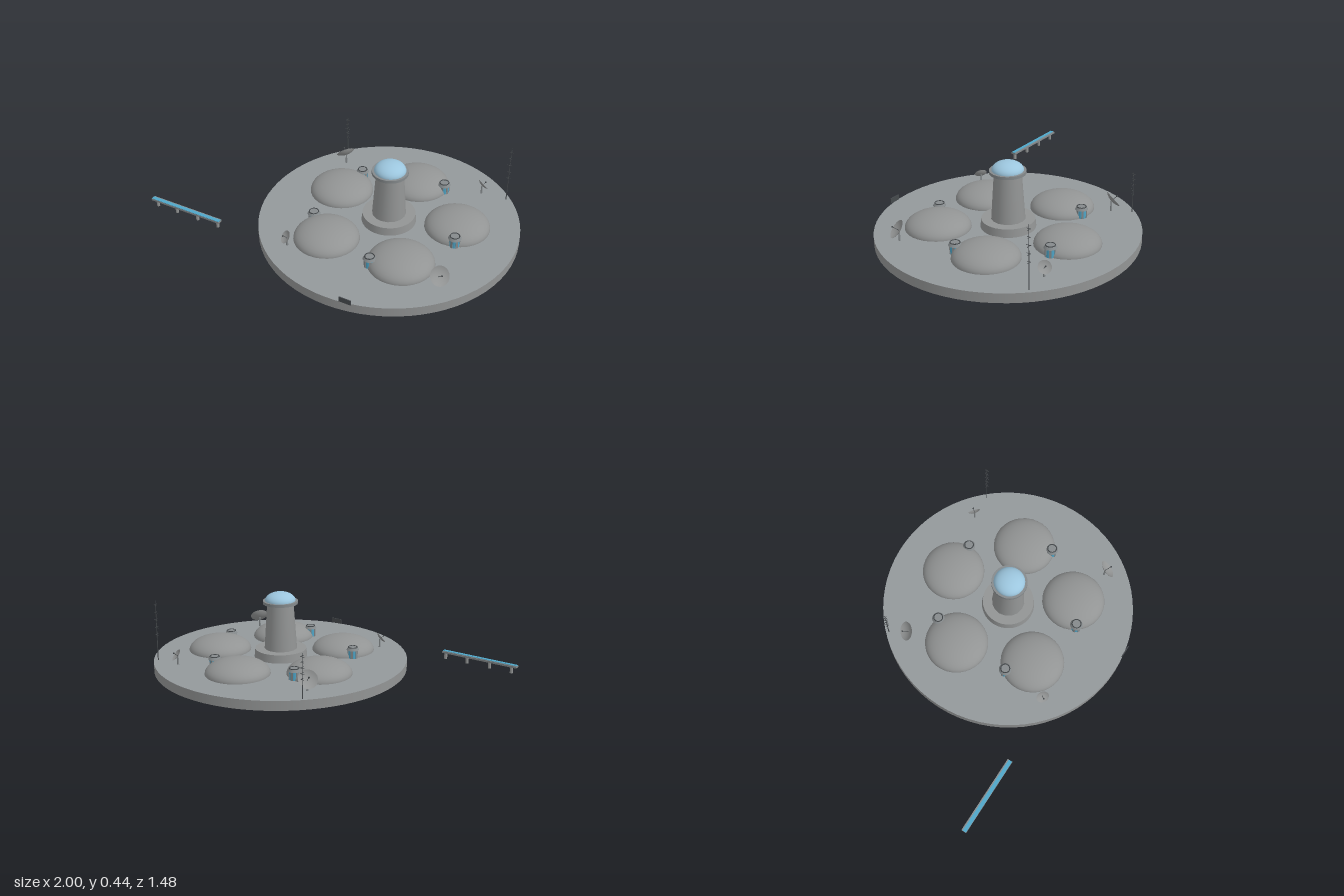
import * as THREE from 'three';

const mat = (name, color) => {
  const m = new THREE.MeshStandardMaterial({ color, side: THREE.DoubleSide });
  m.name = name;
  return m;
};

export function createModel() {
  const M = {
    ground: mat('ground grey', 0x93989b),
    concrete: mat('concrete grey', 0x929494),
    metal: mat('metal grey', 0x858a8c),
    dark: mat('dark metal', 0x45494c),
    glass: mat('pale glass', 0x9cc6de),
    blue: mat('window blue', 0x4fa6c8),
  };
  const model = new THREE.Group();
  const CX = 0.26, FLOOR = 0.055;

  const add = (parent, name, geo, material, x = 0, y = 0, z = 0) => {
    const mesh = new THREE.Mesh(geo, material);
    mesh.name = name;
    mesh.position.set(x, y, z);
    parent.add(mesh);
    return mesh;
  };
  const group = (name, x, y, z) => {
    const g = new THREE.Group();
    g.name = name;
    g.position.set(x, y, z);
    model.add(g);
    return g;
  };
  const cyl = (rt, rb, h, n = 24, open = false) => new THREE.CylinderGeometry(rt, rb, h, n, 1, open);
  const cap = (r, h, n = 32) =>
    new THREE.SphereGeometry(1, n, 10, 0, Math.PI * 2, 0, Math.PI / 2).scale(r, h, r);

  // Base: a hollow disc, open underneath
  const base = group('base', CX, 0, 0);
  add(base, 'baseTop', new THREE.CircleGeometry(0.74, 72).rotateX(-Math.PI / 2), M.ground, 0, FLOOR, 0);
  add(base, 'baseRim', cyl(0.74, 0.74, FLOOR, 72, true), M.concrete, 0, FLOOR / 2, 0);

  // Central tower
  const tower = group('tower', CX, 0, 0);
  add(tower, 'towerPlinth', cyl(0.15, 0.155, 0.048, 40), M.concrete, 0, 0.079, 0);
  add(tower, 'towerShaft', cyl(0.077, 0.096, 0.275, 16), M.concrete, 0, 0.2375, 0);
  add(tower, 'towerCollar', cyl(0.102, 0.102, 0.017, 32), M.metal, 0, 0.381, 0);
  add(tower, 'towerDome', cap(0.089, 0.051), M.glass, 0, 0.389, 0);

  // Five habitat domes, each with an entrance lobby on its edge
  for (let i = 0; i < 5; i++) {
    const a = -Math.PI / 2 + (i * Math.PI * 2) / 5;
    const dome = group('dome', CX + 0.388 * Math.cos(a), 0, 0.388 * Math.sin(a));
    dome.rotation.y = -(i * Math.PI * 2) / 5;
    add(dome, 'domeShell', cap(0.185, 0.084), M.concrete, 0, FLOOR, 0);
    add(dome, 'domeFooting', cyl(0.185, 0.185, 0.012, 32), M.concrete, 0, FLOOR - 0.0065, 0);

    const lobby = new THREE.Group();
    lobby.name = 'entrance';
    lobby.position.set(0.17, FLOOR, 0);
    dome.add(lobby);
    add(lobby, 'entranceGlass', cyl(0.029, 0.029, 0.05, 16), M.blue, 0, 0.025, 0);
    for (let k = 0; k < 6; k++) {
      const b = ((k + 0.5) * Math.PI) / 3;
      const post = add(lobby, 'entrancePost', new THREE.BoxGeometry(0.006, 0.05, 0.013), M.metal,
        0.028 * Math.cos(b), 0.025, 0.028 * Math.sin(b));
      post.rotation.y = -b;
    }
    add(lobby, 'entranceRoof', cyl(0.027, 0.037, 0.016, 16), M.metal, 0, 0.057, 0);
    add(lobby, 'entranceRoofRing', new THREE.TorusGeometry(0.026, 0.003, 6, 20).rotateX(Math.PI / 2),
      M.dark, 0, 0.065, 0);
  }

  // Dish antennas pointing outward
  const dishes = [[-0.22, -0.38, 0.055], [0.63, -0.48, 0.037], [0.735, 0.38, 0.055], [-0.125, 0.475, 0.037]];
  for (const [x, z, r] of dishes) {
    const stand = group('dishAntenna', x, FLOOR, z);
    const h = 0.035 + r * 0.45;
    add(stand, 'dishPole', cyl(0.004, 0.006, h, 8), M.metal, 0, h / 2, 0);
    const head = new THREE.Group();
    head.name = 'dishHead';
    head.position.y = h;
    head.rotation.order = 'YXZ';
    head.rotation.set(0.9, Math.atan2(x - CX, z), 0);
    stand.add(head);
    const R = r / Math.sin(0.6);
    const bowl = new THREE.SphereGeometry(R, 24, 5, 0, Math.PI * 2, Math.PI - 0.6, 0.6).translate(0, R, 0);
    add(head, 'dishBowl', bowl, M.concrete);
    add(head, 'dishFeed', cyl(0.0015, 0.0015, r * 0.8, 6), M.dark, 0, r * 0.4, 0);
    add(head, 'dishReceiver', new THREE.SphereGeometry(0.005, 8, 6), M.dark, 0, r * 0.8, 0);
  }

  // Radio masts with cross bars
  for (const [x, z, top] of [[-0.27, -0.49, 0.305], [0.78, -0.49, 0.412]]) {
    const mast = group('mast', x, FLOOR, z);
    const h = top - FLOOR;
    add(mast, 'mastPole', cyl(0.0015, 0.003, h, 6), M.dark, 0, h / 2, 0);
    for (let k = 0; k < 5; k++) {
      const w = 0.022 + 0.004 * (k % 3);
      const y = h * (0.42 + 0.125 * k);
      add(mast, 'mastBar', new THREE.BoxGeometry(w, 0.002, 0.002), M.dark, 0, y, 0);
      add(mast, 'mastBar', new THREE.BoxGeometry(0.002, 0.002, w), M.dark, 0, y + 0.006, 0);
    }
  }

  // Detached elevated walkway on round legs
  const walkway = group('walkway', -0.7675, 0, 0.522);
  add(walkway, 'walkwayDeck', new THREE.BoxGeometry(0.465, 0.011, 0.03), M.metal, 0, 0.0955, 0);
  add(walkway, 'walkwayStrip', new THREE.BoxGeometry(0.463, 0.003, 0.021), M.blue, 0, 0.102, 0.003);
  for (const x of [-0.2, -0.065, 0.077, 0.216])
    add(walkway, 'walkwayLeg', cyl(0.009, 0.009, 0.037, 12), M.concrete, x, 0.0725, 0);

  // Blank panel at the front edge
  add(model, 'frontPanel', new THREE.BoxGeometry(0.07, 0.03, 0.005), M.dark, 0.375, 0.07, 0.733);

  return model;
}
